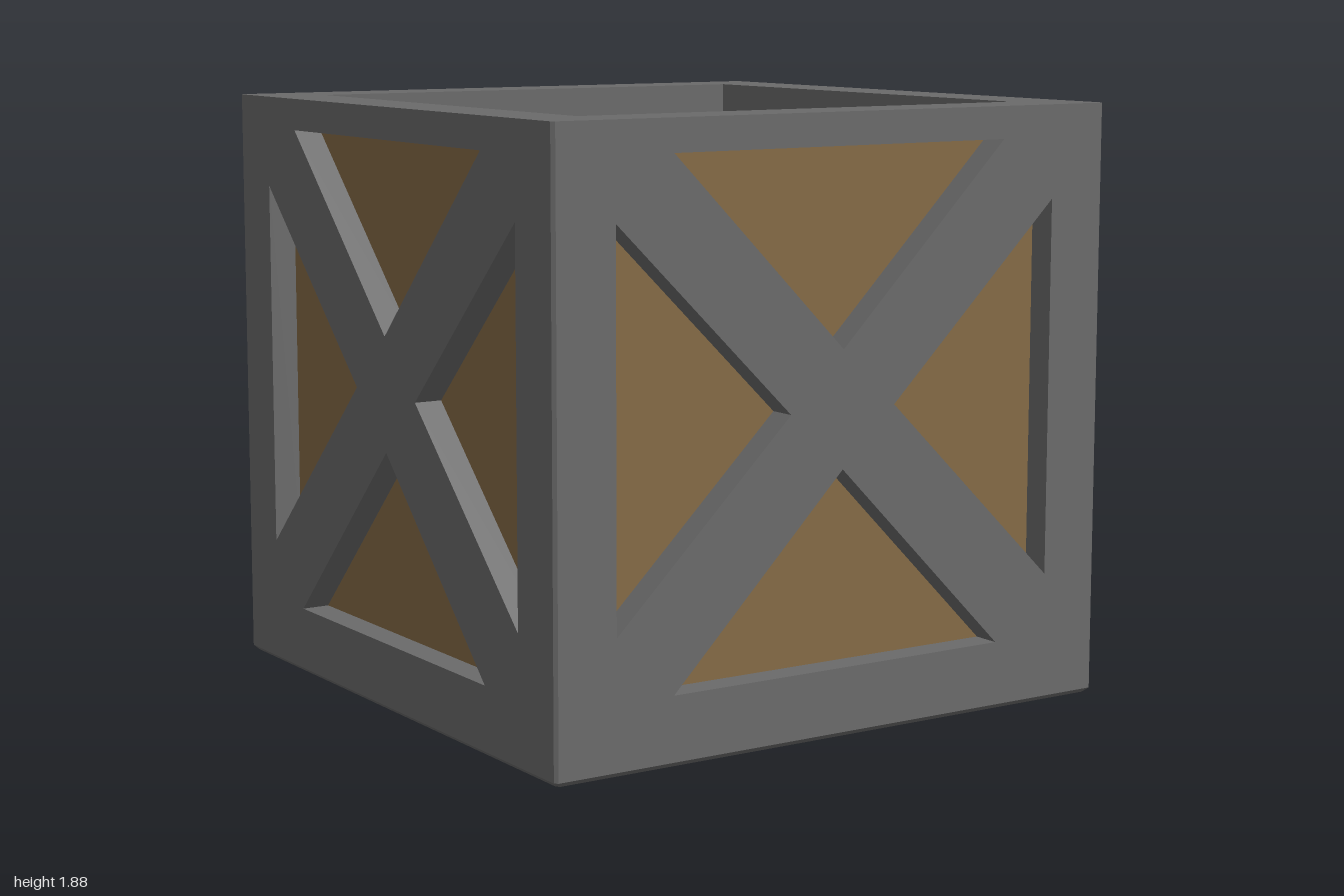
import * as THREE from 'three';

const H = 1.88, EDGE = 0.01, FOOT = 0.015, RECESS = 0.09, INNER = 0.795, FLOOR = 0.2;

const metal = new THREE.MeshStandardMaterial({ color: 0x6a6a6a });
metal.name = 'grey frame';
const wood = new THREE.MeshStandardMaterial({ color: 0x846a45 });
wood.name = 'brown panel';

// Flat-shaded geometry from a list of triangles, dropping empty ones
function fromTriangles(tris) {
  const solid = tris.filter((t) => new THREE.Triangle(...t).getArea() > 1e-7);
  const g = new THREE.BufferGeometry().setFromPoints(solid.flat());
  g.computeVertexNormals();
  return g;
}

const quad = (a, b, c, d) => [[a, b, c], [a, c, d]];

function add(parent, name, geometry, material) {
  const mesh = new THREE.Mesh(geometry, material);
  mesh.name = name;
  parent.add(mesh);
}

// Square cross-section with cut corners; even edges are the flat sides
function ring(h, cut, y) {
  const k = h - cut;
  return [[-k, h], [k, h], [h, k], [h, -k], [k, -h], [-k, -h], [-h, -k], [-h, k]]
    .map(([x, z]) => new THREE.Vector3(x, y, z));
}

function strip(a, b, skipFlat = false) {
  const tris = [];
  for (let i = 0; i < 8; i++) {
    const j = (i + 1) % 8;
    if (!(skipFlat && i % 2 === 0)) tris.push(...quad(a[i], a[j], b[j], b[i]));
  }
  return tris;
}

function cap(r, down) {
  const tris = [];
  for (let i = 1; i < 7; i++) tris.push(down ? [r[0], r[i + 1], r[i]] : [r[0], r[i], r[i + 1]]);
  return tris;
}

// Triangular openings left between the crossed braces, counterclockwise
const openings = [
  [[-0.6, 1.78], [0, 1.18], [0.6, 1.78]],
  [[-0.6, 0.215], [0.6, 0.215], [0, 0.82]],
  [[-0.795, 1.59], [-0.795, 0.41], [-0.19, 1]],
  [[0.795, 0.41], [0.795, 1.59], [0.19, 1]],
].map((t) => t.map(([x, y]) => new THREE.Vector2(x, y)));

function createSide() {
  const side = new THREE.Group();

  // Braced face
  const w = 1 - EDGE;
  const outline = new THREE.Shape([[-w, FOOT], [w, FOOT], [w, H], [-w, H]]
    .map(([x, y]) => new THREE.Vector2(x, y)));
  outline.holes = openings.map((t) => new THREE.Path(t));
  add(side, 'bracedFace', new THREE.ShapeGeometry(outline).translate(0, 0, 1), metal);

  // Inner edges of the openings
  const at = (p, z) => new THREE.Vector3(p.x, p.y, z);
  const reveals = openings.flatMap((t) => t.flatMap((p, i) => {
    const q = t[(i + 1) % 3];
    return quad(at(p, 1), at(q, 1), at(q, 1 - RECESS), at(p, 1 - RECESS));
  }));
  add(side, 'openingEdges', fromTriangles(reveals), metal);

  // Recessed panels
  const panels = new THREE.ShapeGeometry(openings.map((t) => new THREE.Shape(t)));
  add(side, 'recessedPanels', panels.translate(0, 0, 1 - RECESS), wood);
  return side;
}

export function createModel() {
  const crate = new THREE.Group();
  crate.name = 'openCrate';

  const base = ring(1 - FOOT, EDGE, 0);
  const foot = ring(1, EDGE, FOOT);
  const top = ring(1, EDGE, H);
  const mouth = ring(INNER, 0, H);
  const floor = ring(INNER, 0, FLOOR);

  add(crate, 'base', fromTriangles([...cap(base, true), ...strip(base, foot)]), metal);
  add(crate, 'cornerBevels', fromTriangles(strip(foot, top, true)), metal);
  add(crate, 'rim', fromTriangles(strip(top, mouth)), metal);
  add(crate, 'innerWalls', fromTriangles(strip(mouth, floor)), metal);
  add(crate, 'floor', fromTriangles(cap(floor, false)), metal);

  // Four identical sides
  ['front', 'left', 'back', 'right'].forEach((name, i) => {
    const side = createSide();
    side.name = name + 'Side';
    side.rotation.y = i * Math.PI / 2;
    crate.add(side);
  });
  return crate;
}
